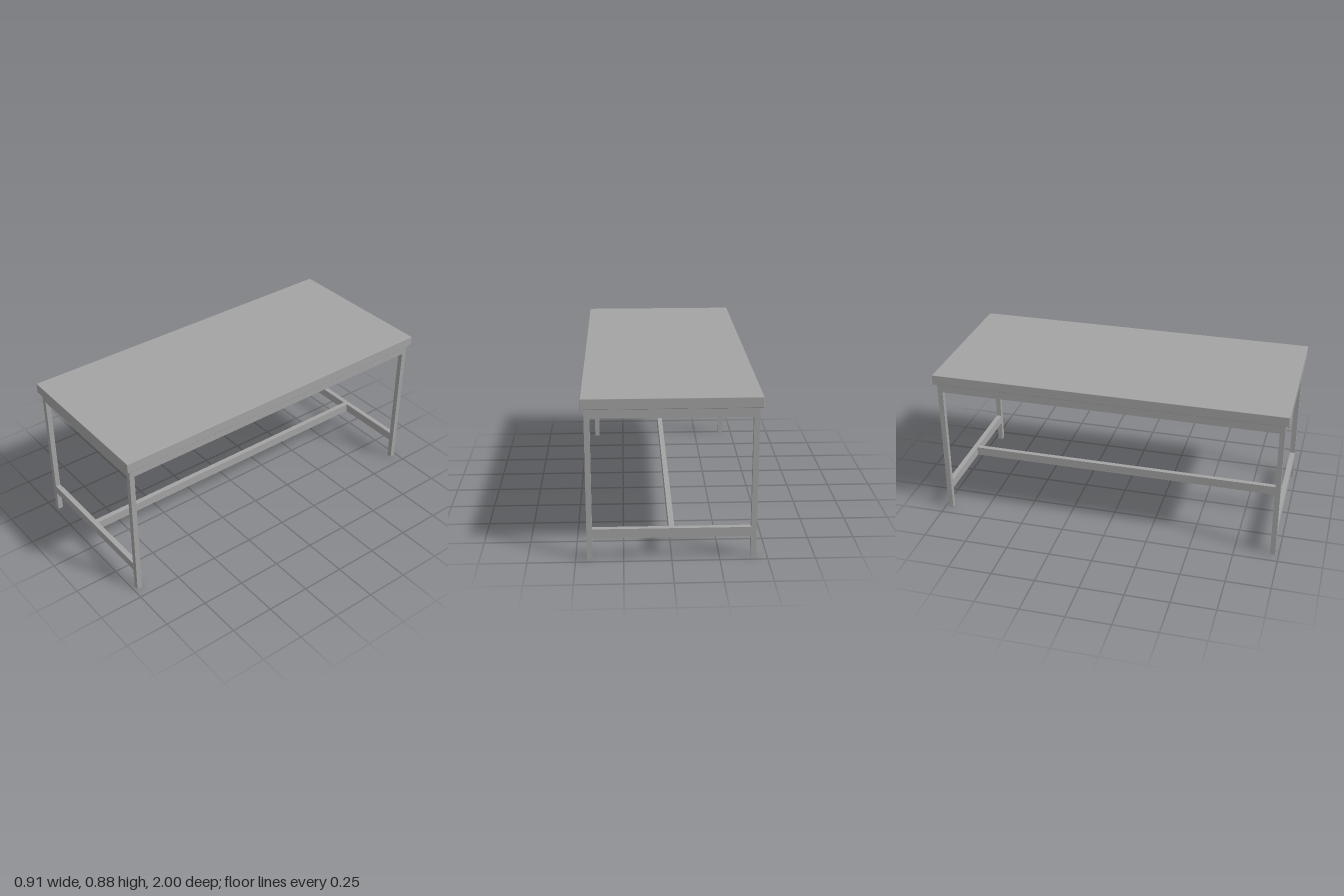
import * as THREE from 'three';
import { RoundedBoxGeometry } from 'three/addons/geometries/RoundedBoxGeometry.js';

export function createModel() {
  const model = new THREE.Group();
  model.name = 'workTable';
  const grey = new THREE.MeshStandardMaterial({ color: 0xa3a3a3 });
  grey.name = 'grey';

  const add = (name, geometry, x, y, z) => {
    const mesh = new THREE.Mesh(geometry, grey);
    mesh.name = name;
    mesh.position.set(x, y, z);
    model.add(mesh);
  };

  const bar = 0.029;      // thickness of every frame member
  const railHeight = 0.052;
  const legX = 0.426, legZ = 0.966;
  const topBottom = 0.828, topHeight = 0.057;
  const spanX = 2 * legX - bar, spanZ = 2 * legZ - bar;
  const apronY = topBottom - railHeight / 2;
  const stretcherY = 0.149;

  // Slab with finely eased edges
  add('tableTop', new RoundedBoxGeometry(0.914, topHeight, 2, 2, 0.003), 0, topBottom + topHeight / 2, 0);

  for (const s of [-1, 1]) {
    const side = s > 0 ? 'left' : 'right';
    const end = s > 0 ? 'front' : 'back';

    // Square legs
    for (const t of [-1, 1]) {
      add(`${side}${t > 0 ? 'Front' : 'Back'}Leg`,
        new THREE.BoxGeometry(bar, topBottom, bar), s * legX, topBottom / 2, t * legZ);
    }

    // Rails under the top, and low rails joining each end pair of legs
    add(`${side}Apron`, new THREE.BoxGeometry(bar, railHeight, spanZ), s * legX, apronY, 0);
    add(`${end}Apron`, new THREE.BoxGeometry(spanX, railHeight, bar), 0, apronY, s * legZ);
    add(`${end}Stretcher`, new THREE.BoxGeometry(spanX, railHeight, bar), 0, stretcherY, s * legZ);
  }

  // Long stretcher between the low end rails
  add('centreStretcher', new THREE.BoxGeometry(bar, railHeight, spanZ), 0, stretcherY, 0);

  return model;
}
